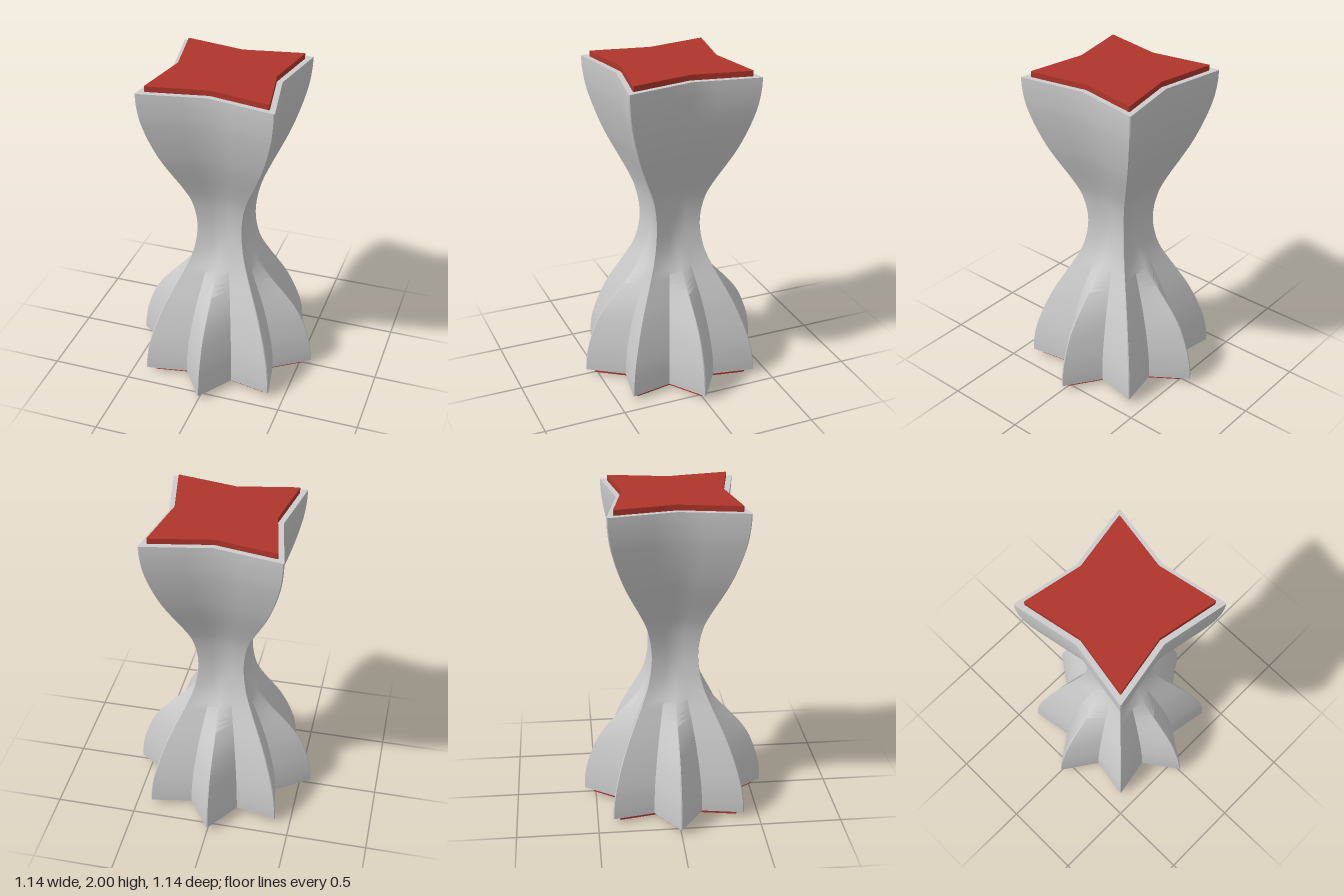
import * as THREE from 'three';
import { toCreasedNormals } from 'three/addons/utils/BufferGeometryUtils.js';

const TIP = 0.571, VALLEY = 0.39, NOTCH = 0.333; // star radii at full size
const BLUNT = 0.007; // half angle of the blunted ridges

// Star section: four diagonal tips, plus four axis points which grow from
// notches (fin = 0) into full tips (fin = 1).
function starRing(y, scale, fin) {
  const ring = [];
  const add = (angle, r) =>
    ring.push(new THREE.Vector3(Math.sin(angle) * r * scale, y, Math.cos(angle) * r * scale));
  const axis = THREE.MathUtils.lerp(NOTCH, TIP, fin);
  for (let k = 0; k < 4; k++) {
    const a = k * Math.PI / 2;
    add(a - BLUNT, axis);
    add(a + BLUNT, axis);
    add(a + Math.PI / 8, VALLEY);
    add(a + Math.PI / 4 - BLUNT, TIP);
    add(a + Math.PI / 4 + BLUNT, TIP);
    add(a + 3 * Math.PI / 8, VALLEY);
  }
  return ring;
}

// Skin a stack of rings and close both ends with fans.
function loft(rings) {
  const pos = [];
  const tri = (...pts) => pts.forEach((p) => pos.push(p.x, p.y, p.z));
  const n = rings[0].length, last = rings[rings.length - 1];
  const bottom = new THREE.Vector3(0, rings[0][0].y, 0);
  const top = new THREE.Vector3(0, last[0].y, 0);
  for (let i = 0; i < n; i++) {
    const j = (i + 1) % n;
    for (let r = 0; r < rings.length - 1; r++) {
      const lo = rings[r], hi = rings[r + 1];
      tri(lo[i], lo[j], hi[j]);
      tri(lo[i], hi[j], hi[i]);
    }
    tri(bottom, rings[0][j], rings[0][i]);
    tri(top, last[i], last[j]);
  }
  const geo = new THREE.BufferGeometry();
  geo.setAttribute('position', new THREE.Float32BufferAttribute(pos, 3));
  return toCreasedNormals(geo, Math.PI / 6);
}

export function createModel() {
  const group = new THREE.Group();
  const grey = new THREE.MeshStandardMaterial({ color: 0xcccccc });
  const red = new THREE.MeshStandardMaterial({ color: 0xb0352b });
  const add = (name, rings, material) => {
    const mesh = new THREE.Mesh(loft(rings), material);
    mesh.name = name;
    group.add(mesh);
  };

  // Hourglass profile: half width of the diagonal tips by distance from the waist
  const half = [[0.1, 0.15], [0.2, 0.172], [0.3, 0.212], [0.4, 0.258], [0.5, 0.302],
    [0.6, 0.338], [0.7, 0.368], [0.8, 0.391], [0.9, 0.403], [0.967, 0.405]];
  const profile = new THREE.SplineCurve([
    ...half.map(([d, w]) => new THREE.Vector2(w, 1 - d)).reverse(),
    new THREE.Vector2(0.142, 1),
    ...half.map(([d, w]) => new THREE.Vector2(w, 1 + d)),
  ]);

  // Body: four-pointed above, flaring into an eight-pointed foot
  add('body', profile.getPoints(80).map(({ x, y }) =>
    starRing(y, x / 0.405, 1 - THREE.MathUtils.smoothstep(y, 0.35, 0.95))), grey);

  // Inset end plates
  add('topPlate', [starRing(1.96, 0.9, 0), starRing(2, 0.9, 0)], red);
  add('bottomPlate', [starRing(0, 0.9, 1), starRing(0.04, 0.9, 1)], red);
  return group;
}
